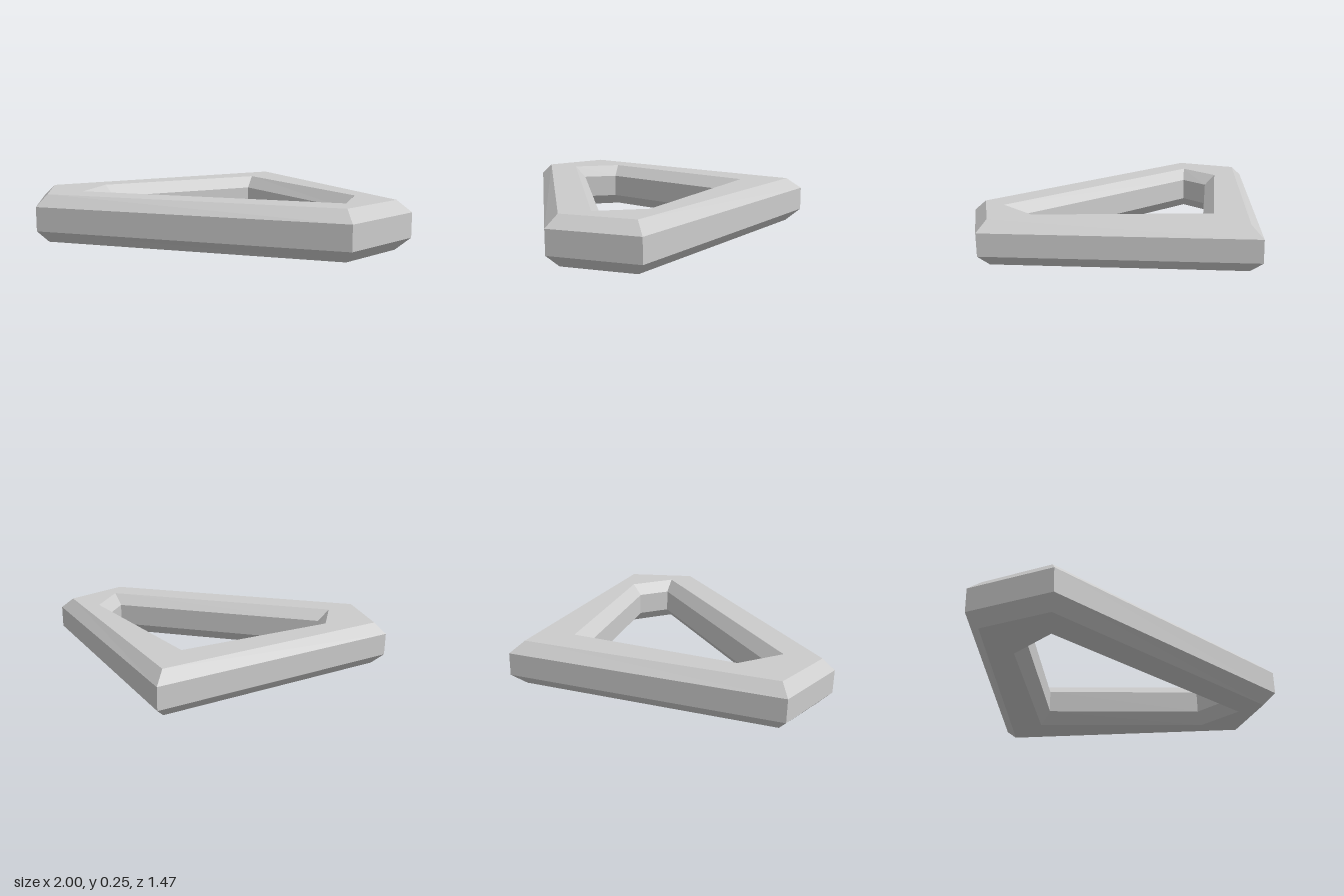
import * as THREE from 'three';

// Five corners of each outline, as [x, z], running from the back point round past +x
const outerEdge = [[0.015, -0.735], [1, 0.325], [0.775, 0.732], [-0.81, 0.725], [-1, 0.33]];
const outerFace = [[0.015, -0.647], [0.925, 0.335], [0.74, 0.67], [-0.775, 0.67], [-0.93, 0.34]];
const innerFace = [[0, -0.378], [0.713, 0.25], [0.713, 0.52], [-0.655, 0.52], [-0.665, 0.25]];
const innerEdge = [[0, -0.297], [0.655, 0.275], [0.655, 0.465], [-0.6, 0.465], [-0.605, 0.275]];

const BOTTOM = 0, LOW = 0.062, HIGH = 0.186, TOP = 0.245;

// Joins a closed series of rings into a solid hoop with flat facets
function hoop(rings) {
  const corners = rings.map(([outline, y]) => outline.map(([x, z]) => [x, y, z]));
  const positions = [];
  corners.forEach((ring, r) => {
    const next = corners[(r + 1) % corners.length];
    ring.forEach((a, i) => {
      const j = (i + 1) % ring.length;
      const b = ring[j], c = next[j], d = next[i];
      positions.push(...a, ...d, ...c, ...a, ...c, ...b);
    });
  });
  const geometry = new THREE.BufferGeometry();
  geometry.setAttribute('position', new THREE.Float32BufferAttribute(positions, 3));
  geometry.computeVertexNormals();
  return geometry;
}

export function createModel() {
  const group = new THREE.Group();
  group.name = 'pentagonFrame';

  const grey = new THREE.MeshStandardMaterial({ color: 0xcccccc });
  grey.name = 'light grey';

  // Bevelled frame: up the outside, over the top, down the inside, under the bottom
  const frame = new THREE.Mesh(hoop([
    [outerEdge, LOW], [outerEdge, HIGH],
    [outerFace, TOP], [innerFace, TOP],
    [innerEdge, HIGH], [innerEdge, LOW],
    [innerFace, BOTTOM], [outerFace, BOTTOM],
  ]), grey);
  frame.name = 'bevelledFrame';
  group.add(frame);

  return group;
}
